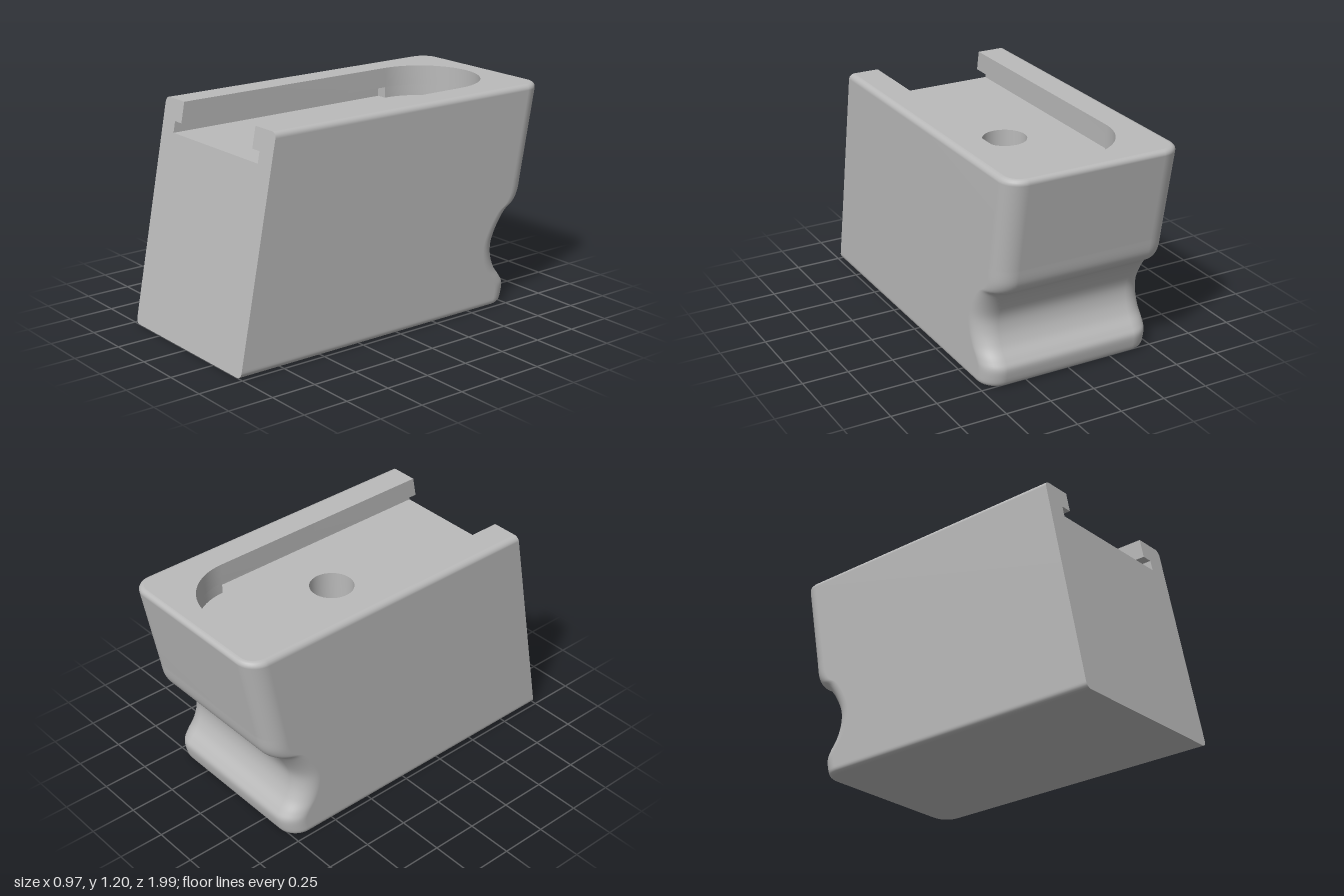
import * as THREE from 'three';
import { toCreasedNormals } from 'three/addons/utils/BufferGeometryUtils.js';

const H = 1.2, W = 0.485, EDGE = 0.03, CORNER = 0.11;
const FLOOR = 1.03, LIP = 1.09, SLOT = 0.315, UNDERCUT = 0.375, ARC_Z = -0.555;
const HOLE_Z = -0.09, HOLE_R = 0.117, HOLE_DEPTH = 0.4;

// Both ends lean back by the same slope
const frontZ = y => 1 - 0.1917 * y;
const backZ = y => -0.772 - 0.19 * y;

// Smooth surface through rows of [x, y, z] points
function loft(rows) {
  const n = rows[0].length, index = [];
  for (let i = 0; i < rows.length - 1; i++) {
    for (let j = 0; j < n - 1; j++) {
      const a = i * n + j, b = a + 1, c = a + n, d = c + 1;
      index.push(a, b, c, b, d, c);
    }
  }
  const g = new THREE.BufferGeometry();
  g.setAttribute('position', new THREE.Float32BufferAttribute(rows.flat(2), 3));
  g.setIndex(index);
  g.computeVertexNormals();
  return g;
}

// Outline of the body at one height: left front, round the back, right front
function ring(y, zb, inset) {
  const w = W - inset, r = CORNER - inset, pts = [[w, y, frontZ(y)]];
  for (const side of [1, -1]) {
    for (let k = 0; k <= 10; k++) {
      const a = (side > 0 ? k : 10 - k) / 10 * Math.PI / 2;
      pts.push([side * (w - r + r * Math.cos(a)), y, zb + r - r * Math.sin(a)]);
    }
  }
  pts.push([-w, y, frontZ(y)]);
  return pts;
}

// Flat horizontal face from [x, z] points
function flat(points, y, up, hole) {
  const s = up ? -1 : 1;
  const shape = new THREE.Shape(points.map(([x, z]) => new THREE.Vector2(x, s * z)));
  if (hole) shape.holes.push(new THREE.Path(hole.map(([x, z]) => new THREE.Vector2(x, s * z))));
  return new THREE.ShapeGeometry(shape).rotateX(s * Math.PI / 2).translate(0, y, 0);
}

// Upright wall along a path of [x, z]; a null z runs out to the sloping front
const wall = (path, y0, y1) => toCreasedNormals(loft([y0, y1].map(y =>
  path.map(([x, z]) => [x, y, z ?? frontZ(y)]))), 0.6);
const atHeight = (path, y) => path.map(([x, z]) => [x, z ?? frontZ(y)]);

export function createModel() {
  const model = new THREE.Group();
  model.name = 'slottedBlock';
  const grey = new THREE.MeshStandardMaterial({ color: 0xbababa, side: THREE.DoubleSide });
  grey.name = 'plain grey';
  const add = (name, geometry, parent = model) => {
    const mesh = new THREE.Mesh(geometry, grey);
    mesh.name = name;
    parent.add(mesh);
  };

  // Body: rounded bottom edge, finger groove, leaning back, rounded top edge
  const rings = [];
  for (let k = 0; k <= 5; k++) {
    const a = k / 5 * Math.PI / 2, y = EDGE * (1 - Math.cos(a)), inset = EDGE * (1 - Math.sin(a));
    rings.push(ring(y, backZ(y) + inset, inset));
  }
  const groove = new THREE.SplineCurve([
    [-0.779, 0.03], [-0.791, 0.1], [-0.77, 0.144], [-0.727, 0.203], [-0.7, 0.278], [-0.7, 0.358],
    [-0.738, 0.444], [-0.797, 0.524], [-0.856, 0.565], [-0.889, 0.62], [-0.905, 0.7],
  ].map(p => new THREE.Vector2(...p)));
  for (const p of groove.getPoints(50).slice(1)) rings.push(ring(p.y, p.x, 0));
  for (let k = 0; k <= 5; k++) {
    const a = k / 5 * Math.PI / 2, y = H - EDGE + EDGE * Math.sin(a), inset = EDGE * (1 - Math.cos(a));
    rings.push(ring(y, backZ(y) + inset, inset));
  }
  add('sidesAndBack', loft(rings));

  // Slot paths, from the right front round the back to the left front
  const arc = [];
  for (let k = 0; k <= 32; k++) {
    const a = k / 32 * Math.PI;
    arc.push([-SLOT * Math.cos(a), ARC_Z - SLOT * Math.sin(a)]);
  }
  const slotPath = [[-SLOT, null], ...arc, [SLOT, null]];
  const undercutPath = [[-UNDERCUT, null], [-UNDERCUT, ARC_Z], ...arc, [UNDERCUT, ARC_Z], [UNDERCUT, null]];

  // Bottom and top faces
  const plan = r => r.map(([x, , z]) => [x, z]);
  add('bottomFace', flat(plan(rings[0]), 0, false));
  add('topFace', flat([...plan(rings.at(-1)), ...atHeight(slotPath, H)], H, true));

  // Sloping front face with the T-shaped notch
  const edge = rings.map(r => [r[0][0], r[0][1]]);
  const notch = [[SLOT, H], [SLOT, LIP], [UNDERCUT, LIP], [UNDERCUT, FLOOR]];
  const half = [...edge, ...notch];
  const mirrored = half.map(([x, y]) => [-x, y]).reverse();
  const front = new THREE.ShapeGeometry(
    new THREE.Shape([...half, ...mirrored].map(p => new THREE.Vector2(...p))));
  const pos = front.attributes.position;
  for (let i = 0; i < pos.count; i++) pos.setZ(i, frontZ(pos.getY(i)));
  front.computeVertexNormals();
  add('frontFace', front);

  // T-slot walls, lip undersides and floor
  const slot = new THREE.Group();
  slot.name = 'slot';
  model.add(slot);
  add('slotWall', wall(slotPath, LIP, H), slot);
  add('undercutWall', wall(undercutPath, FLOOR, LIP), slot);
  for (const s of [1, -1]) {
    const lip = [[s * SLOT, null], [s * UNDERCUT, null], [s * UNDERCUT, ARC_Z], [s * SLOT, ARC_Z]];
    add(s > 0 ? 'leftLipUnderside' : 'rightLipUnderside', flat(atHeight(lip, LIP), LIP, false), slot);
  }
  const circle = [];
  for (let k = 0; k <= 40; k++) {
    const a = k / 40 * Math.PI * 2;
    circle.push([HOLE_R * Math.cos(a), HOLE_Z + HOLE_R * Math.sin(a)]);
  }
  add('slotFloor', flat(atHeight(undercutPath, FLOOR), FLOOR, true, circle.slice(0, -1)), slot);

  // Blind round hole in the slot floor
  add('holeWall', wall(circle, FLOOR - HOLE_DEPTH, FLOOR), slot);
  add('holeBottom', flat(circle.slice(0, -1), FLOOR - HOLE_DEPTH, true), slot);
  return model;
}
